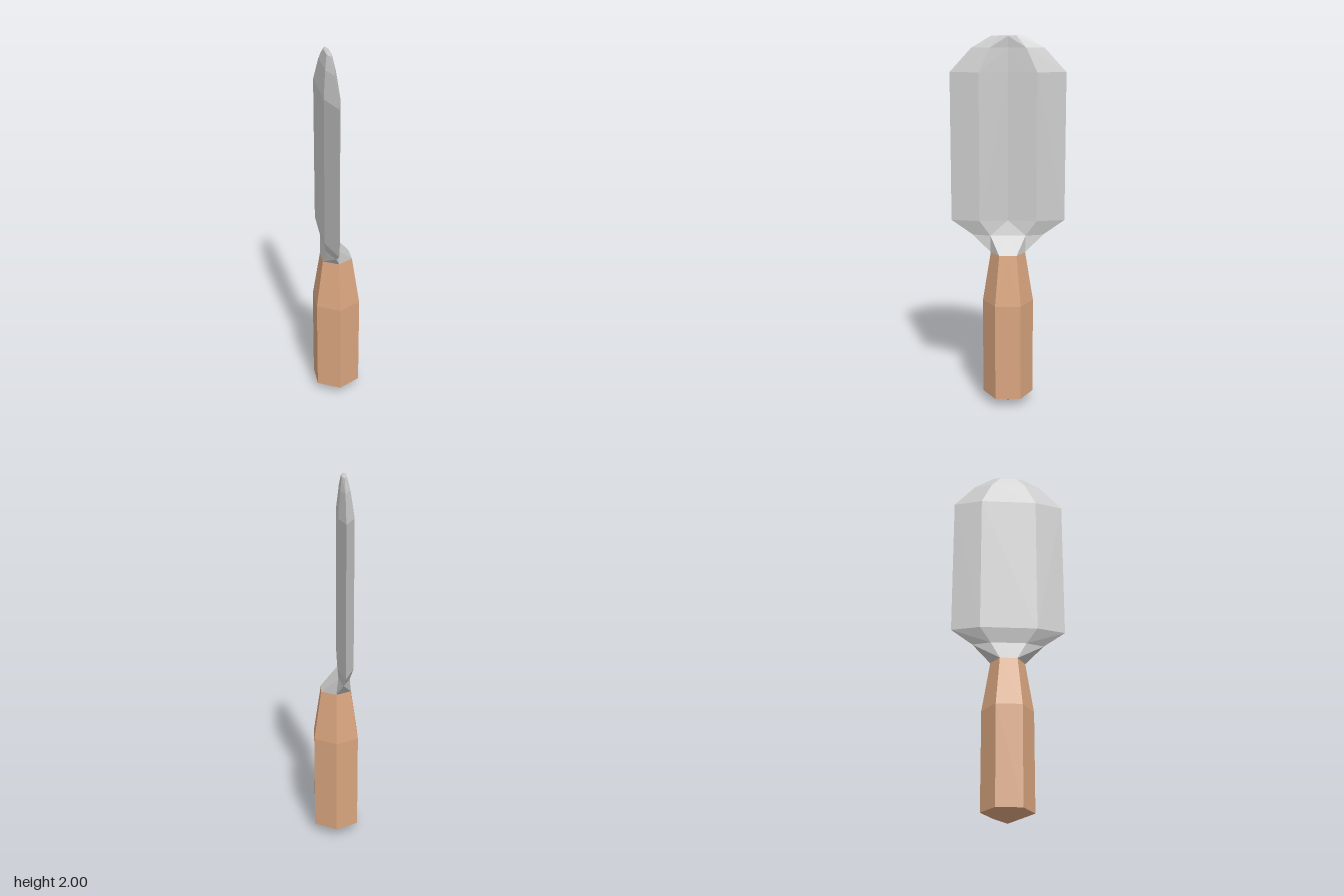
import * as THREE from 'three';

// Hexagonal ring with an extra middle point on the +x face.
// half: half width in z; mid: x of the two edges; back/front: x of the faces; valley: x of the middle point
function ring(y, half, mid, back, front, valley = front) {
  const h = half / 2;
  return [
    [mid, y, half], [front, y, h], [valley, y, 0], [front, y, -h],
    [mid, y, -half], [back, y, -h], [back, y, h],
  ];
}

// Skins rings from bottom to top, with optional end points closing the ends
function loft(rings, bottom, top) {
  const pos = [];
  const tri = (...pts) => pts.forEach((p) => pos.push(...p));
  const n = rings[0].length;
  for (let k = 0; k < n; k++) {
    const m = (k + 1) % n;
    for (let i = 0; i < rings.length - 1; i++) {
      const a = rings[i], b = rings[i + 1];
      // Mirror the diagonal on the two halves
      if (k < 2 || k === 6) {
        tri(a[k], a[m], b[m]);
        tri(a[k], b[m], b[k]);
      } else {
        tri(a[k], a[m], b[k]);
        tri(a[m], b[m], b[k]);
      }
    }
    if (bottom) tri(bottom, rings[0][m], rings[0][k]);
    if (top) {
      const last = rings[rings.length - 1];
      tri(last[k], last[m], top);
    }
  }
  const geo = new THREE.BufferGeometry();
  geo.setAttribute('position', new THREE.Float32BufferAttribute(pos, 3));
  geo.computeVertexNormals();
  return geo;
}

function part(name, geo, color) {
  const mesh = new THREE.Mesh(geo, new THREE.MeshStandardMaterial({ color, flatShading: true }));
  mesh.name = name;
  return mesh;
}

export function createModel() {
  const model = new THREE.Group();
  model.name = 'paddleBlade';

  // Hexagonal wooden grip, tapering to the neck, with a shallow pointed end
  const collar = ring(0.85, 0.093, 0, -0.08, 0.08);
  model.add(part('handle', loft([
    ring(0.05, 0.137, 0, -0.119, 0.119),
    ring(0.58, 0.137, 0, -0.119, 0.119),
    collar,
  ], [0.012, 0, 0]), 0xd9a57f));

  // Neck and blade: flat back, shallow hollow along the front face, rounded tip
  model.add(part('blade', loft([
    collar,
    ring(0.94, 0.19, -0.035, -0.071, -0.011),
    ring(1.02, 0.305, -0.041, -0.088, -0.007, -0.031),
    ring(1.81, 0.305, -0.041, -0.088, -0.007, -0.031),
    ring(1.935, 0.19, -0.041, -0.07, -0.019, -0.033),
    ring(1.995, 0.088, -0.041, -0.054, -0.028),
  ], null, [-0.041, 2, 0]), 0xcccccc));

  return model;
}
